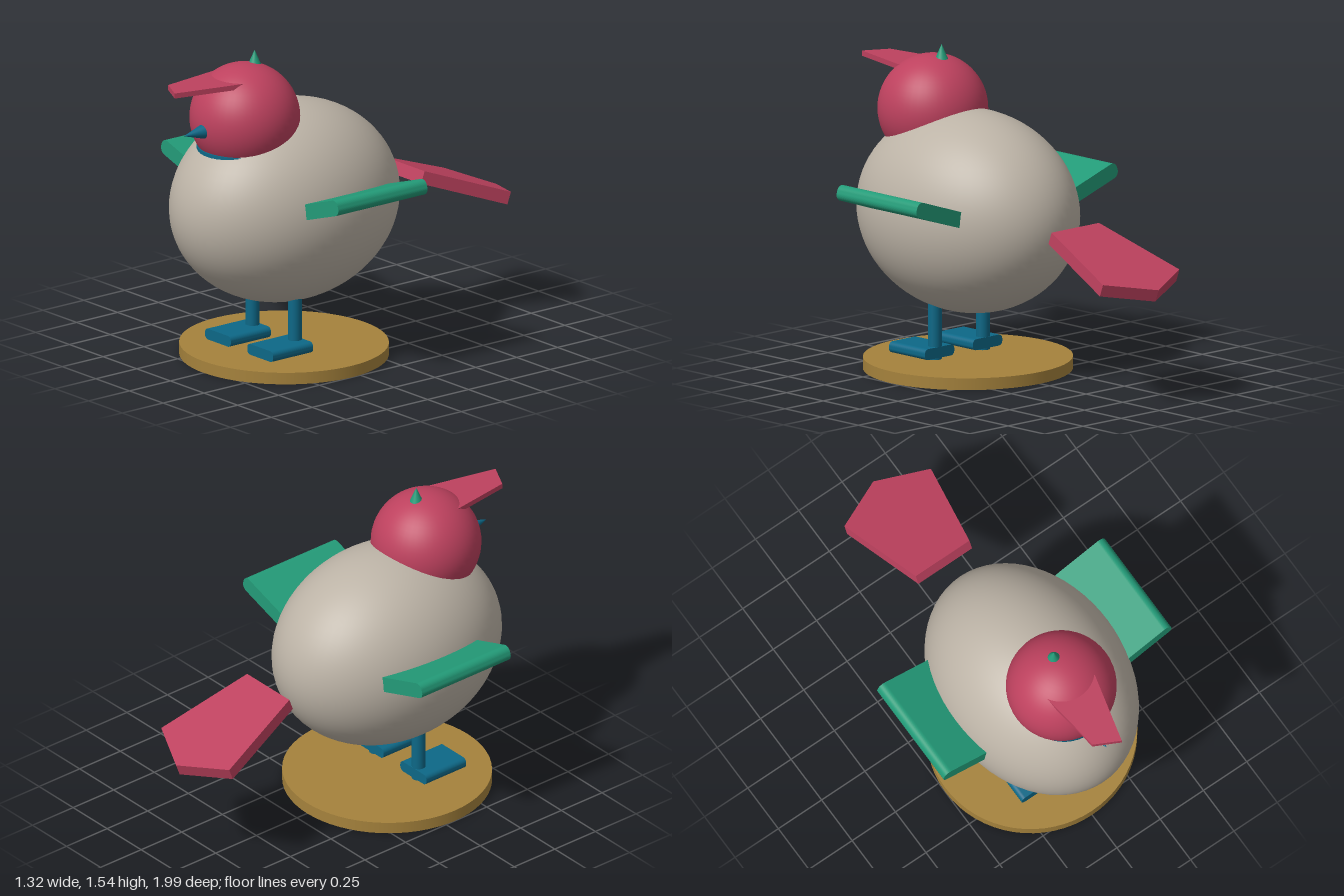
import * as THREE from 'three';

const mat = (name, color) => {
  const m = new THREE.MeshStandardMaterial({ color });
  m.name = name;
  return m;
};

export function createModel() {
  const grey = mat('warm grey', 0xbcb3a6);
  const red = mat('crimson', 0xbd415e);
  const green = mat('green', 0x239b78);
  const blue = mat('teal blue', 0x0d6887);
  const wood = mat('wood', 0xa5823c);

  const model = new THREE.Group();
  model.name = 'bird';

  const add = (name, geometry, material, x = 0, y = 0, z = 0) => {
    const mesh = new THREE.Mesh(geometry, material);
    mesh.name = name;
    mesh.position.set(x, y, z);
    model.add(mesh);
    return mesh;
  };

  const polygon = (points) => new THREE.Shape(points.map(([x, y]) => new THREE.Vector2(x, y)));
  const extrude = (shape, depth) =>
    new THREE.ExtrudeGeometry(shape, { depth, bevelEnabled: false, curveSegments: 8 });

  // Slab profile from x0 to x1 with thickness t; right corners rounded, left ones optional
  const slab = (x0, x1, t, r, bothEnds) => {
    const h = t / 2;
    const s = new THREE.Shape();
    const q = Math.PI / 2;
    if (bothEnds) {
      s.absarc(x0 + r, h - r, r, q, 2 * q, false);
      s.absarc(x0 + r, -h + r, r, 2 * q, 3 * q, false);
    } else {
      s.moveTo(x0, h);
      s.lineTo(x0, -h);
    }
    s.absarc(x1 - r, -h + r, r, -q, 0, false);
    s.absarc(x1 - r, h - r, r, 0, q, false);
    s.closePath();
    return s;
  };

  // Round stand
  add('base', new THREE.CylinderGeometry(0.5, 0.5, 0.057, 64), wood, 0, 0.0285, 0.305).scale.z = 0.985;

  // Egg body, head and neck
  add('body', new THREE.SphereGeometry(1, 64, 40), grey, 0, 0.763, 0.303).scale.set(0.453, 0.486, 0.6);
  add('head', new THREE.SphereGeometry(0.262, 48, 32), red, 0, 1.218, 0.545);
  add('neck', new THREE.CylinderGeometry(0.225, 0.225, 0.18, 48), blue, 0, 0.99, 0.55);

  // Beak and crest
  add('beak', new THREE.ConeGeometry(0.041, 0.14, 32), blue, 0, 1.193, 0.848).rotation.x = Math.PI / 2;
  add('crest', new THREE.ConeGeometry(0.031, 0.072, 32), green, 0, 1.5, 0.485);

  // Flat plate jutting from the forehead
  const brim = polygon([[-0.15, 0.52], [0.15, 0.52], [0.03, 0.998], [-0.095, 0.935]]);
  add('foreheadPlate', extrude(brim, 0.025), red, 0, 1.427, 0).rotation.x = Math.PI / 2;

  // Detached tail fan, tilted down
  const tail = polygon([[-0.155, 0], [0.155, 0], [0.25, 0.48], [0, 0.606], [-0.25, 0.48]]);
  add('tail', extrude(tail, 0.062), red, 0, 0.734, -0.405).rotation.x = THREE.MathUtils.degToRad(-110.5);

  // Wings, legs and feet on both sides
  const wingGeometry = extrude(slab(-0.15, 0.25, 0.075, 0.032, false), 0.545);
  const legGeometry = new THREE.CylinderGeometry(0.033, 0.033, 0.32, 24);
  const footGeometry = extrude(slab(-0.096, 0.096, 0.053, 0.022, true), 0.245);
  for (const [side, s] of [['left', 1], ['right', -1]]) {
    const wing = add(side + 'Wing', wingGeometry, green, s * 0.418, 0.838, s > 0 ? -0.03 : 0.515);
    // A half turn about y mirrors the symmetric extrusion
    wing.rotation.set(0, s > 0 ? 0 : Math.PI, THREE.MathUtils.degToRad(18.4));
    add(side + 'Leg', legGeometry, blue, s * 0.157, 0.215, 0.368);
    add(side + 'Foot', footGeometry, blue, s * 0.157, 0.093, 0.335);
  }

  return model;
}
